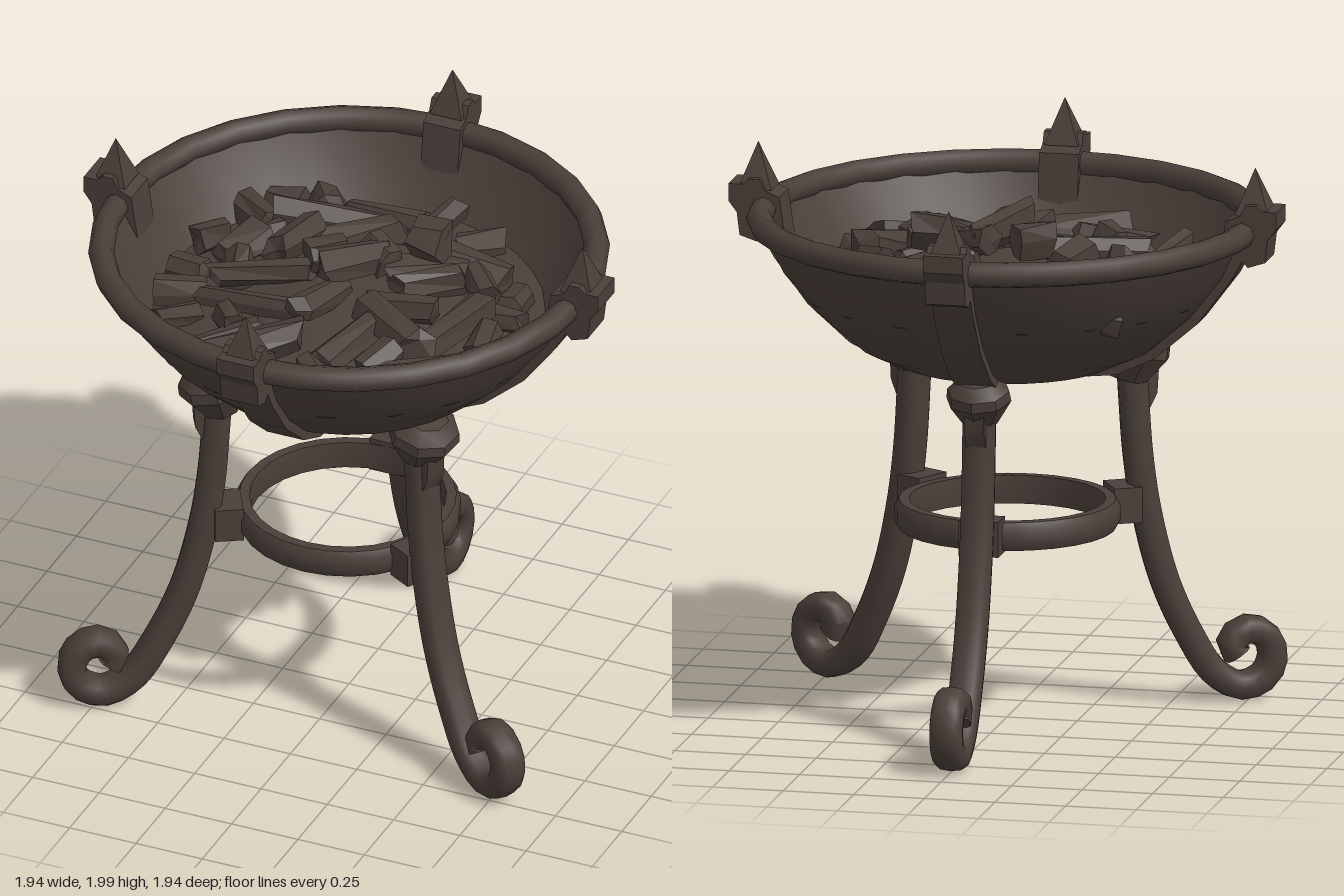
import * as THREE from 'three';
import { toCreasedNormals } from 'three/addons/utils/BufferGeometryUtils.js';

const iron = new THREE.MeshStandardMaterial({ color: 0x4a3f39 });
iron.name = 'dark iron';

let seed = 7;
const rnd = () => (seed = (seed * 16807) % 2147483647) / 2147483647;

function add(parent, name, geometry, x = 0, y = 0, z = 0) {
  const mesh = new THREE.Mesh(geometry, iron);
  mesh.name = name;
  mesh.position.set(x, y, z);
  parent.add(mesh);
  return mesh;
}

const lathe = (pts, seg) =>
  toCreasedNormals(new THREE.LatheGeometry(pts.map(p => new THREE.Vector2(...p)), seg), 0.6);

// side profile in (radius, height), given a width across
function slab(pts, width) {
  const shape = new THREE.Shape(pts.map(p => new THREE.Vector2(...p)));
  const g = new THREE.ExtrudeGeometry(shape, { depth: width, bevelEnabled: false });
  g.translate(0, 0, -width / 2);
  return toCreasedNormals(g, 0.5);
}

// rounded-rectangle section swept along a curve in the XY plane
function sweep(path, steps, halfThick, halfWidth, sides = 12) {
  const curve = new THREE.CatmullRomCurve3(path.map(p => new THREE.Vector3(p[0], p[1], 0)));
  const pos = [], index = [];
  const soft = v => Math.sign(v) * Math.pow(Math.abs(v), 0.7);
  for (let i = 0; i <= steps; i++) {
    const p = curve.getPointAt(i / steps), t = curve.getTangentAt(i / steps);
    for (let j = 0; j < sides; j++) {
      const a = (j / sides) * Math.PI * 2;
      const c = soft(Math.cos(a)) * halfThick, s = soft(Math.sin(a)) * halfWidth;
      pos.push(p.x - t.y * c, p.y + t.x * c, s);
      if (i < steps) {
        const a0 = i * sides + j, a1 = i * sides + (j + 1) % sides;
        index.push(a0, a1, a0 + sides, a1, a1 + sides, a0 + sides);
      }
    }
  }
  // end caps
  const last = steps * sides;
  for (let j = 1; j < sides - 1; j++) {
    index.push(0, j + 1, j, last, last + j, last + j + 1);
  }
  const g = new THREE.BufferGeometry();
  g.setAttribute('position', new THREE.Float32BufferAttribute(pos, 3));
  g.setIndex(index);
  return toCreasedNormals(g, 0.9);
}

// faceted lump lying along x
function chunk(length, width, height) {
  const g = new THREE.CylinderGeometry(0.5, 0.5, 1, 6, 1);
  g.rotateZ(Math.PI / 2);
  const p = g.attributes.position, moved = {};
  for (let i = 0; i < p.count; i++) {
    const key = [p.getX(i), p.getY(i), p.getZ(i)].map(v => Math.round(v * 50)).join();
    const m = moved[key] ??= [0, 0, 0].map(() => (rnd() - 0.5) * 0.22);
    p.setXYZ(i, (p.getX(i) + m[0]) * length, (p.getY(i) + m[1]) * height, (p.getZ(i) + m[2]) * width);
  }
  const flat = g.toNonIndexed();
  flat.computeVertexNormals();
  return flat;
}

export function createModel() {
  const model = new THREE.Group();
  model.name = 'brazier';

  // bowl with an inner wall, and its rolled rim
  const outer = [[0, 1.23], [0.2, 1.245], [0.38, 1.275], [0.52, 1.34], [0.67, 1.47], [0.78, 1.61], [0.85, 1.76]];
  const inner = [[0.83, 1.76], [0.75, 1.62], [0.64, 1.49], [0.5, 1.37], [0.2, 1.28], [0, 1.27]];
  add(model, 'bowl', lathe([...outer, ...inner], 32));
  const rim = new THREE.TorusGeometry(0.855, 0.045, 8, 28);
  rim.rotateX(Math.PI / 2);
  add(model, 'rim', rim, 0, 1.773, 0);

  // straps, brackets and spikes at the four quarters
  const strapShape = [[0.3, 1.245], [0.4, 1.255], [0.54, 1.32], [0.69, 1.45], [0.81, 1.61], [0.87, 1.72],
    [0.84, 1.75], [0.76, 1.61], [0.65, 1.48], [0.5, 1.35], [0.36, 1.28]];
  const bracketShape = [[0.8, 1.64], [0.84, 1.69], [0.87, 1.66], [0.93, 1.68], [0.94, 1.76], [0.97, 1.8],
    [0.97, 1.86], [0.92, 1.86], [0.9, 1.88], [0.86, 1.88], [0.84, 1.84], [0.79, 1.82], [0.765, 1.65]];
  const strapGeo = slab(strapShape, 0.14), bracketGeo = slab(bracketShape, 0.14);
  const spikeGeo = new THREE.ConeGeometry(0.085, 0.16, 4).toNonIndexed();
  spikeGeo.rotateY(Math.PI / 4);
  spikeGeo.computeVertexNormals();
  for (let i = 0; i < 4; i++) {
    const mount = new THREE.Group();
    mount.name = 'rimMount';
    mount.rotation.y = i * Math.PI / 2;
    add(mount, 'strap', strapGeo);
    add(mount, 'bracket', bracketGeo);
    add(mount, 'spike', spikeGeo, 0.88, 1.92, 0);
    model.add(mount);
  }

  // three scrolled legs with collars and clasps
  const legPath = [[0.44, 1.27], [0.45, 1.1], [0.465, 0.9], [0.495, 0.7], [0.56, 0.45], [0.65, 0.25], [0.74, 0.11],
    [0.84, 0.055], [0.925, 0.09], [0.95, 0.17], [0.91, 0.24], [0.84, 0.25], [0.80, 0.2], [0.82, 0.17]];
  const legGeo = sweep(legPath, 44, 0.05, 0.058);
  const collarGeo = lathe([[0, -0.09], [0.06, -0.08], [0.115, 0.01], [0.11, 0.045], [0.07, 0.085], [0, 0.09]], 8);
  const leafGeo = slab([[0.5, 1.22], [0.47, 1.2], [0.475, 1.1], [0.5, 1.07], [0.525, 1.12], [0.53, 1.2]], 0.07);
  for (const angle of [90, -30, -150]) {
    const leg = new THREE.Group();
    leg.name = 'legAssembly';
    leg.position.z = 0.03;
    leg.rotation.y = THREE.MathUtils.degToRad(angle);
    add(leg, 'leg', legGeo);
    const front = angle !== 90;
    const collar = add(leg, 'collar', collarGeo, 0.45, front ? 1.255 : 1.22, 0);
    collar.rotation.z = -0.25;
    if (front) collar.scale.set(1.12, 1.12, 1.12);
    add(leg, 'leaf', leafGeo);
    add(leg, 'clasp', new THREE.BoxGeometry(0.1, 0.125, 0.14), 0.41, 0.735, 0);
    model.add(leg);
  }

  // brace ring between the legs
  add(model, 'braceRing', lathe([[0.34, 0.68], [0.375, 0.68], [0.39, 0.705], [0.39, 0.755], [0.375, 0.78],
    [0.34, 0.78], [0.335, 0.73], [0.34, 0.68]], 28), 0, 0, 0.01);

  // heaped bed under the coals
  const bedHeight = r => 1.67 - 0.17 * (r / 0.72);
  add(model, 'coalBed', lathe([[0.72, 1.53], [0.5, bedHeight(0.5)], [0.25, bedHeight(0.25)], [0, 1.67]], 20));

  // large coals: x, z, length, width, turn in degrees
  const coals = [
    [-0.09, -0.5, 0.28, 0.08, 10], [-0.25, -0.39, 0.36, 0.1, 25], [-0.1, -0.3, 0.29, 0.12, 40],
    [0.1, -0.5, 0.28, 0.08, 75], [0.28, -0.48, 0.2, 0.09, 60], [-0.31, -0.52, 0.16, 0.12, -60],
    [-0.5, -0.35, 0.17, 0.1, -35], [0.2, -0.17, 0.29, 0.14, 40], [0.33, -0.3, 0.26, 0.11, 12],
    [0.26, -0.1, 0.24, 0.1, 50], [-0.26, -0.13, 0.24, 0.11, 80], [-0.28, 0.09, 0.36, 0.08, 25],
    [-0.28, 0.24, 0.39, 0.06, 0], [-0.55, 0.2, 0.17, 0.1, 20], [-0.49, 0.38, 0.19, 0.07, 70],
    [-0.27, 0.48, 0.27, 0.08, 30], [-0.15, 0.49, 0.36, 0.13, 50], [0.27, 0.22, 0.3, 0.15, -35],
    [0.24, 0.09, 0.24, 0.1, 10], [0.42, 0.43, 0.27, 0.18, 30], [-0.02, 0.18, 0.29, 0.08, 80],
    [0.14, 0.34, 0.32, 0.12, 75], [0.55, -0.08, 0.15, 0.08, -5], [-0.44, -0.1, 0.17, 0.14, 70],
    [0.02, 0, 0.28, 0.1, 60], [0.44, 0.12, 0.3, 0.12, 70],
  ];
  // small coals: x, z
  const small = [[-0.46, -0.5], [-0.58, 0.04], [-0.59, -0.16], [-0.39, -0.19], [0.42, -0.16], [0.54, -0.21],
    [0.29, 0.4], [-0.28, 0.38], [0.12, 0.57], [0.56, 0.13], [-0.11, 0.58], [-0.39, 0.06], [0.08, -0.1], [-0.1, -0.03]];
  for (const [x, z] of small) coals.push([x, z, 0.13, 0.1, rnd() * 180]);
  const pile = new THREE.Group();
  pile.name = 'coals';
  for (const [x, z, length, width, turn] of coals) {
    const y = bedHeight(Math.hypot(x, z)) + 0.025 + rnd() * 0.05;
    const coal = add(pile, 'coal', chunk(length, width, Math.min(width, 0.11) + 0.02), x, y, z);
    coal.rotation.set((rnd() - 0.5) * 0.8, THREE.MathUtils.degToRad(turn), (rnd() - 0.5) * 0.6, 'YXZ');
  }
  // one coal standing above the rim line
  add(pile, 'highCoal', chunk(0.12, 0.15, 0.14), 0.22, 1.76, -0.19);
  model.add(pile);

  return model;
}
